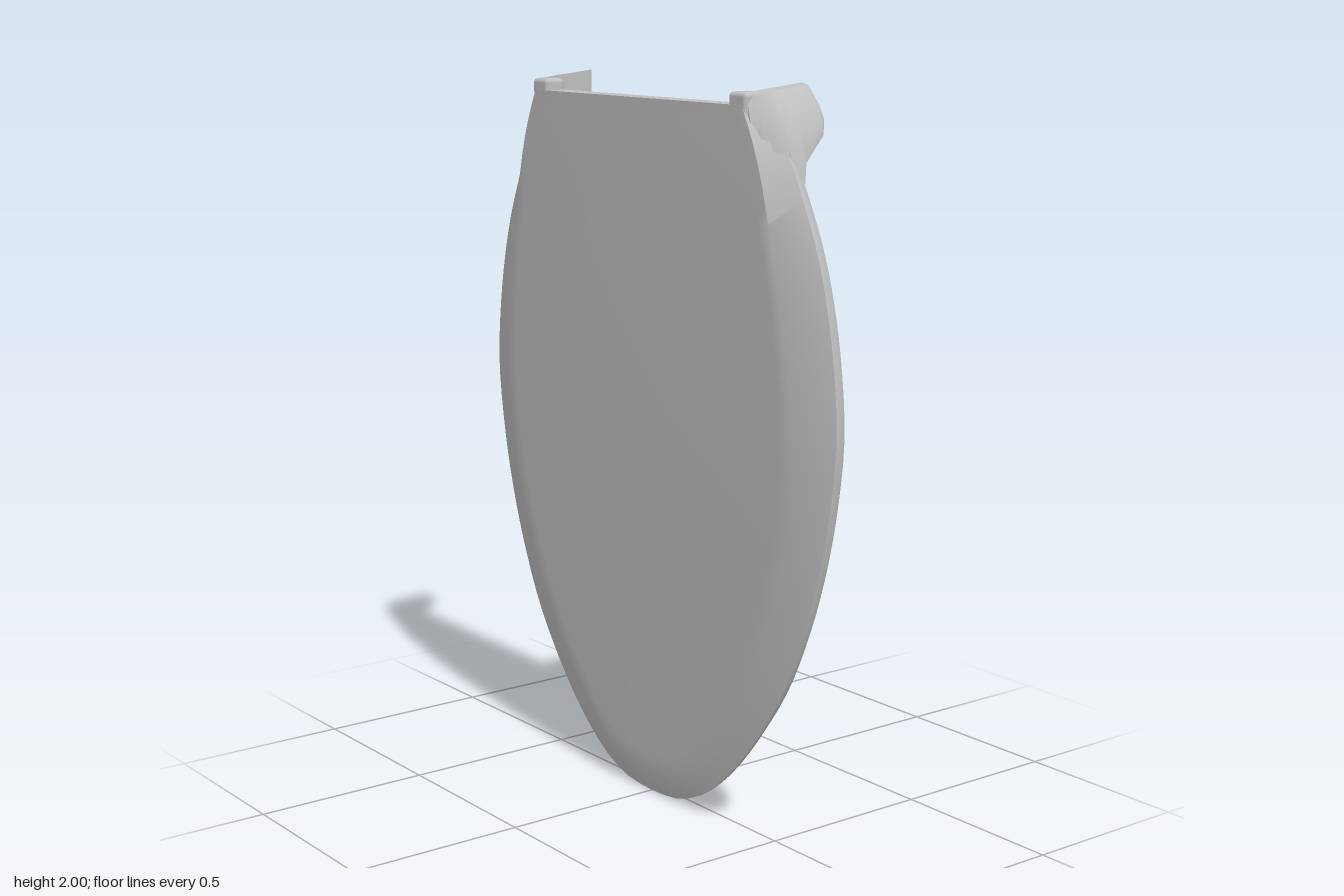
import * as THREE from 'three';
import { toCreasedNormals } from 'three/addons/utils/BufferGeometryUtils.js';
import { RoundedBoxGeometry } from 'three/addons/geometries/RoundedBoxGeometry.js';

const HALF = 44; // samples along one half of an outline

// Skin a stack of equal rings (front to back, counter-clockwise from +z), capping both ends
function loft(rings) {
  const n = rings[0].length, index = [], last = (rings.length - 1) * n;
  const quad = (a, b, c, d) => index.push(a, b, c, a, c, d);
  for (let r = 0; r < rings.length - 1; r++) {
    for (let j = 0; j < n; j++) {
      const k = (j + 1) % n, p = r * n, q = p + n;
      quad(p + j, q + j, q + k, p + k);
    }
  }
  for (let j = 0; j < n / 2 - 1; j++) {
    quad(n - 1 - j, j, j + 1, n - 2 - j);
    quad(last + j, last + n - 1 - j, last + n - 2 - j, last + j + 1);
  }
  const geometry = new THREE.BufferGeometry();
  geometry.setAttribute('position', new THREE.Float32BufferAttribute(rings.flat(2), 3));
  geometry.setIndex(index);
  return toCreasedNormals(geometry, 0.6);
}

// Smooth the right half of an outline
function smooth(points) {
  const curve = new THREE.CatmullRomCurve3(points.map(([x, y]) => new THREE.Vector3(x, y, 0)));
  return curve.getSpacedPoints(HALF - 1).map((p) => [Math.max(p.x, 0), p.y]);
}

// Place a half outline in depth and mirror it into a closed ring
function ring(half, place) {
  const right = half.map(([x, y]) => place(x, y));
  return [...right, ...right.map(([x, y, z]) => [-x, y, z]).reverse()];
}

const frontZ = (y) => 0.052 + 0.032 * y - 0.004 * y * y;

export function createModel() {
  const group = new THREE.Group();
  const grey = new THREE.MeshStandardMaterial({ color: 0xbfbfbf });
  grey.name = 'light grey plastic';
  const add = (name, geometry) => {
    const mesh = new THREE.Mesh(geometry, grey);
    mesh.name = name;
    group.add(mesh);
    return mesh;
  };

  // Outlines: widest edge, start of the front bevel, opening of the back recess
  const edge = smooth([[0, 0], [0.1, 0.006], [0.2, 0.04], [0.29, 0.1], [0.395, 0.2], [0.545, 0.4],
    [0.64, 0.6], [0.705, 0.8], [0.745, 1], [0.758, 1.16], [0.73, 1.4], [0.675, 1.6], [0.58, 1.8],
    [0.525, 1.89], [0.47, 1.95]]);
  const bevel = smooth([[0, 0.058], [0.12, 0.072], [0.22, 0.13], [0.33, 0.25], [0.45, 0.42],
    [0.55, 0.64], [0.61, 0.85], [0.635, 1.02], [0.635, 1.15], [0.61, 1.4], [0.57, 1.6], [0.52, 1.8],
    [0.48, 1.9], [0.455, 1.95]]);
  const recess = smooth([[0, 0.22], [0.1, 0.235], [0.2, 0.3], [0.33, 0.45], [0.47, 0.7], [0.56, 0.9],
    [0.61, 1.1], [0.61, 1.25], [0.57, 1.45], [0.5, 1.64], [0.44, 1.74], [0.36, 1.78]]);

  // Lid: front face, bevel, rim, hinge ledge, flat back border and recessed panel
  add('lid', loft([
    ring(bevel, (x, y) => [x * 0.93, 1.95 + (y - 1.95) * 0.97, frontZ(y)]),
    ring(bevel, (x, y) => [x, y, frontZ(y) - 0.002]),
    ring(edge, (x, y) => [x, y, 0.034]),
    ring(edge, (x, y) => [x, Math.min(y, 1.9), 0.026]),
    ring(edge, (x, y) => [x * 0.988, Math.min(1.1 + (y - 1.1) * 0.975, 1.88), 0]),
    ring(recess, (x, y) => [x, y, 0]),
    ring(recess, (x, y) => [x * 0.92, 1.1 + (y - 1.1) * 0.94, frontZ(y) - 0.03]),
  ]));

  // Hinge lugs: sections from outer bottom, up over the top, to inner bottom
  const lug = [
    [0.088, [0.505, 1.74], [0.5, 1.82], [0.482, 1.9], [0.468, 1.955], [0.455, 1.965], [0.455, 1.74]],
    [0.07, [0.535, 1.74], [0.525, 1.83], [0.497, 1.92], [0.472, 1.975], [0.455, 1.982], [0.455, 1.74]],
    [0.03, [0.585, 1.74], [0.566, 1.84], [0.53, 1.925], [0.483, 1.983], [0.455, 1.987], [0.455, 1.74]],
    [0, [0.588, 1.76], [0.572, 1.85], [0.535, 1.935], [0.485, 1.987], [0.455, 1.99], [0.455, 1.76]],
    [-0.015, [0.574, 1.81], [0.568, 1.86], [0.535, 1.938], [0.485, 1.988], [0.455, 1.991], [0.455, 1.81]],
    [-0.085, [0.556, 1.873], [0.553, 1.9], [0.53, 1.945], [0.485, 1.995], [0.455, 1.999], [0.455, 1.873]],
    [-0.097, [0.545, 1.9], [0.543, 1.915], [0.525, 1.948], [0.482, 1.995], [0.458, 2], [0.458, 1.9]],
  ].map(([z, ...points]) => points.map(([x, y]) => [x, y, z]));
  const mirrored = lug.map((r) => r.map(([x, y, z]) => [-x, y, z]).reverse());
  add('leftHingeLug', loft(lug));
  add('rightHingeLug', loft(mirrored));

  // Small stop blocks beside the lugs
  for (const side of [1, -1]) {
    const block = add(side > 0 ? 'leftStopBlock' : 'rightStopBlock',
      new RoundedBoxGeometry(0.07, 0.09, 0.062, 3, 0.012));
    block.position.set(side * 0.435, 1.937, 0.066);
  }
  return group;
}
